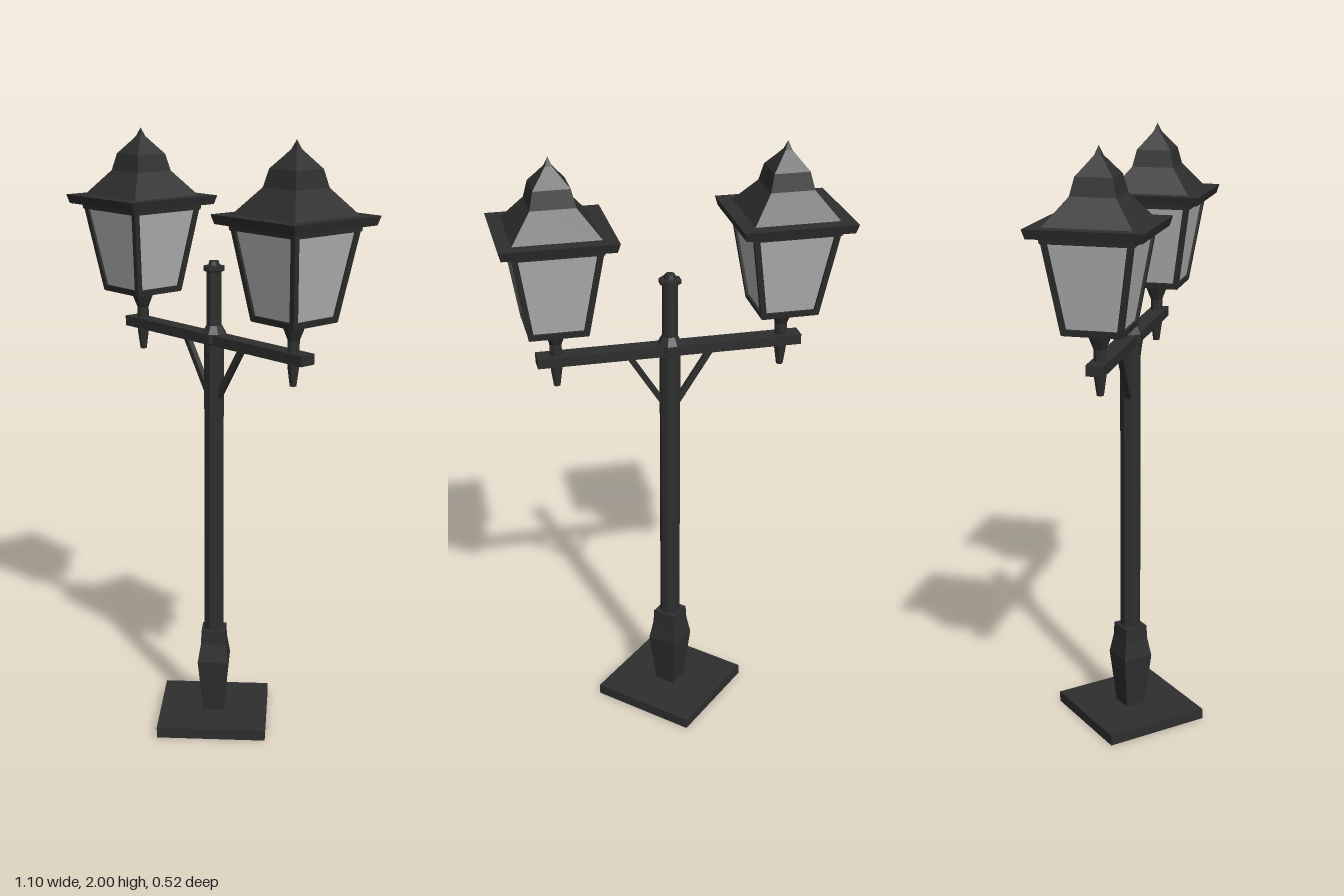
import * as THREE from 'three';

const iron = new THREE.MeshStandardMaterial({ color: 0x2e2e2e, flatShading: true, side: THREE.DoubleSide });
const glass = new THREE.MeshStandardMaterial({ color: 0xb4b4b4, flatShading: true, side: THREE.DoubleSide });

// Turned part: profile of [radius, height], listed from bottom to top
function turned(name, profile, sides, phase = 0, material = iron) {
  const points = profile.map(([r, y]) => new THREE.Vector2(r, y));
  const mesh = new THREE.Mesh(new THREE.LatheGeometry(points, sides, phase), material);
  mesh.name = name;
  return mesh;
}

// Square part with faces square to x and z: profile of [half width, height]
function square(name, profile, material = iron) {
  return turned(name, profile.map(([w, y]) => [w * Math.SQRT2, y]), 4, Math.PI / 4, material);
}

// Straight bar from a to b
function bar(name, a, b, width, depth) {
  const from = new THREE.Vector3(...a), to = new THREE.Vector3(...b);
  const mesh = new THREE.Mesh(new THREE.BoxGeometry(width, from.distanceTo(to), depth), iron);
  mesh.position.addVectors(from, to).multiplyScalar(0.5);
  mesh.quaternion.setFromUnitVectors(new THREE.Vector3(0, 1, 0), to.sub(from).normalize());
  mesh.name = name;
  return mesh;
}

function lantern() {
  const g = new THREE.Group();
  g.name = 'lantern';
  // Stem passing through the arm, with a pointed drop below
  g.add(turned('stem', [[0, 1.255], [0.011, 1.255], [0.02, 1.32], [0.02, 1.4],
    [0.038, 1.445], [0.038, 1.46]], 8, Math.PI / 8));
  // Floor, glazing and top rail
  g.add(square('lanternFloor', [[0, 1.455], [0.092, 1.455], [0.096, 1.475], [0, 1.475]]));
  g.add(square('glassPanes', [[0.087, 1.47], [0.13, 1.74]], glass));
  g.add(square('topRail', [[0, 1.732], [0.14, 1.732], [0.143, 1.752], [0, 1.752]]));
  // Corner posts
  for (const sx of [-1, 1]) for (const sz of [-1, 1]) {
    g.add(bar('cornerPost', [sx * 0.085, 1.46, sz * 0.085], [sx * 0.13, 1.745, sz * 0.13], 0.018, 0.018));
  }
  // Eaves slab and swept roof
  g.add(square('eaves', [[0, 1.75], [0.172, 1.75], [0.18, 1.779], [0, 1.779]]));
  g.add(square('roof', [[0.136, 1.778], [0.07, 1.86], [0.057, 1.915], [0.03, 1.948], [0.011, 1.972], [0, 2]]));
  return g;
}

export function createModel() {
  const model = new THREE.Group();
  model.name = 'streetLamp';

  // Diamond base plate and pedestal
  model.add(turned('basePlate', [[0, 0], [0.259, 0], [0.259, 0.036], [0, 0.036]], 4));
  model.add(turned('pedestal', [[0.05, 0.035], [0.075, 0.22], [0.06, 0.285], [0.057, 0.332], [0, 0.332]], 4));

  // Post, collar and cap
  model.add(turned('post', [[0.034, 0.32], [0.034, 1.33], [0.041, 1.335], [0.041, 1.365],
    [0.026, 1.392], [0.025, 1.565], [0.036, 1.57], [0.036, 1.583], [0.02, 1.585],
    [0.016, 1.6], [0, 1.602]], 8, Math.PI / 8));

  // Cross arm
  const arm = new THREE.Mesh(new THREE.BoxGeometry(0.86, 0.034, 0.056), iron);
  arm.position.y = 1.346;
  arm.name = 'crossArm';
  model.add(arm);

  // Diagonal braces and lanterns on both sides
  for (const s of [-1, 1]) {
    model.add(bar('brace', [s * 0.02, 1.15], [s * 0.139, 1.338], 0.018, 0.018));
    const lamp = lantern();
    lamp.position.x = s * 0.368;
    model.add(lamp);
  }
  // Give the two-number brace points a depth of zero
  model.traverse((o) => { if (o.name === 'brace') o.position.z = 0; });
  return model;
}
